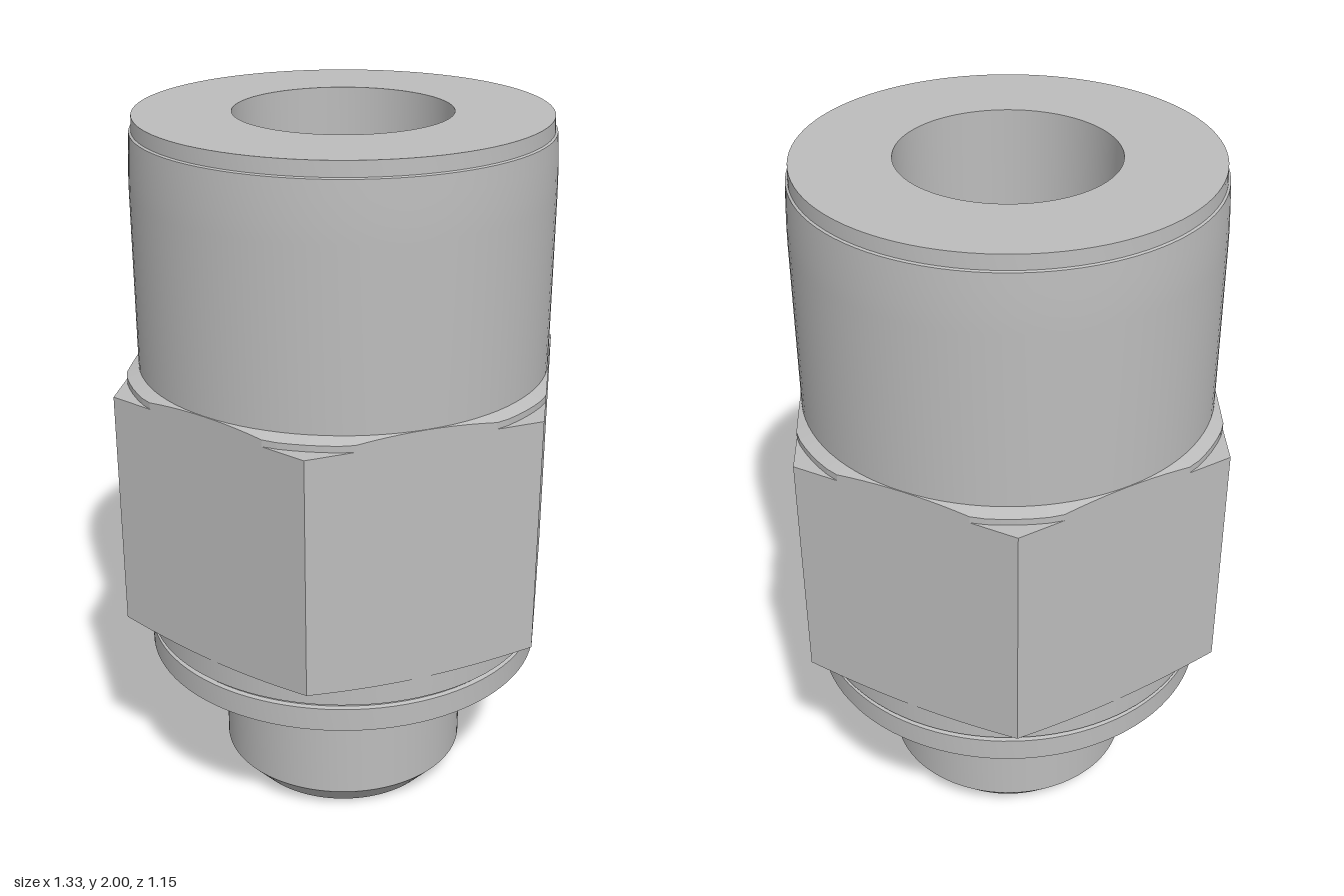
import * as THREE from 'three';
import { toCreasedNormals } from 'three/addons/utils/BufferGeometryUtils.js';

const APOTHEM = 0.575;

// Revolves a profile of [radius, y] pairs, keeping its edges sharp
function turned(name, profile, material) {
  const points = profile.map(([r, y]) => new THREE.Vector2(r, y));
  const geometry = toCreasedNormals(new THREE.LatheGeometry(points, 96), 0.35);
  const mesh = new THREE.Mesh(geometry, material);
  mesh.name = name;
  return mesh;
}

// Hexagon radius at an angle, with corners on the x axis
function hexRadius(angle) {
  const sector = Math.PI / 3;
  const a = ((angle % sector) + sector) % sector;
  return APOTHEM / Math.cos(a - sector / 2);
}

// Hexagonal collar from stacked rings, each clipped to the hexagon
function hexCollar(material) {
  const segments = 96;
  const chamferY = (r) => 0.58 + (r - APOTHEM) * 0.24;
  const rings = [
    () => [0.56, 0.58],
    () => [APOTHEM, 0.58],
    (h) => [h, chamferY(h)],
    (h) => [h, 1.28],
    (h) => [Math.min(h, 0.61), 1.28],
    (h) => [Math.min(h, 0.61), 1.31 - (Math.min(h, 0.61) - APOTHEM) * 0.35],
    () => [APOTHEM, 1.31],
    () => [0.56, 1.31],
  ];
  const positions = [];
  const index = [];
  rings.forEach((ring) => {
    for (let i = 0; i < segments; i++) {
      const angle = (i / segments) * Math.PI * 2;
      const [r, y] = ring(hexRadius(angle));
      positions.push(r * Math.cos(angle), y, -r * Math.sin(angle));
    }
  });
  for (let k = 0; k < rings.length - 1; k++) {
    for (let i = 0; i < segments; i++) {
      const j = (i + 1) % segments;
      const a = k * segments + i, b = k * segments + j;
      const c = a + segments, d = b + segments;
      index.push(a, b, d, a, d, c);
    }
  }
  let geometry = new THREE.BufferGeometry();
  geometry.setAttribute('position', new THREE.Float32BufferAttribute(positions, 3));
  geometry.setIndex(index);
  geometry = geometry.toNonIndexed();
  geometry.computeVertexNormals();
  const mesh = new THREE.Mesh(geometry, material);
  mesh.name = 'hexCollar';
  return mesh;
}

export function createModel() {
  const group = new THREE.Group();
  group.name = 'pipeFitting';
  const metal = new THREE.MeshStandardMaterial({ color: 0xbcbcbc });
  metal.name = 'grey metal';

  // Hollow body: stem, grooved flange, sleeve and stepped bore
  group.add(turned('body', [
    [0.19, 0], [0.29, 0], [0.358, 0.075], [0.358, 0.435],
    [0.573, 0.435], [0.573, 0.503], [0.562, 0.507], [0.562, 0.513], [0.573, 0.517],
    [0.573, 1.8], [0.572, 1.85], [0.569, 1.91], [0.566, 1.957],
    [0.56, 1.96], [0.558, 2], [0.295, 2],
    [0.295, 1.0], [0.19, 1.0], [0.19, 0],
  ], metal));

  // Wrench grip around the middle
  group.add(hexCollar(metal));
  return group;
}
